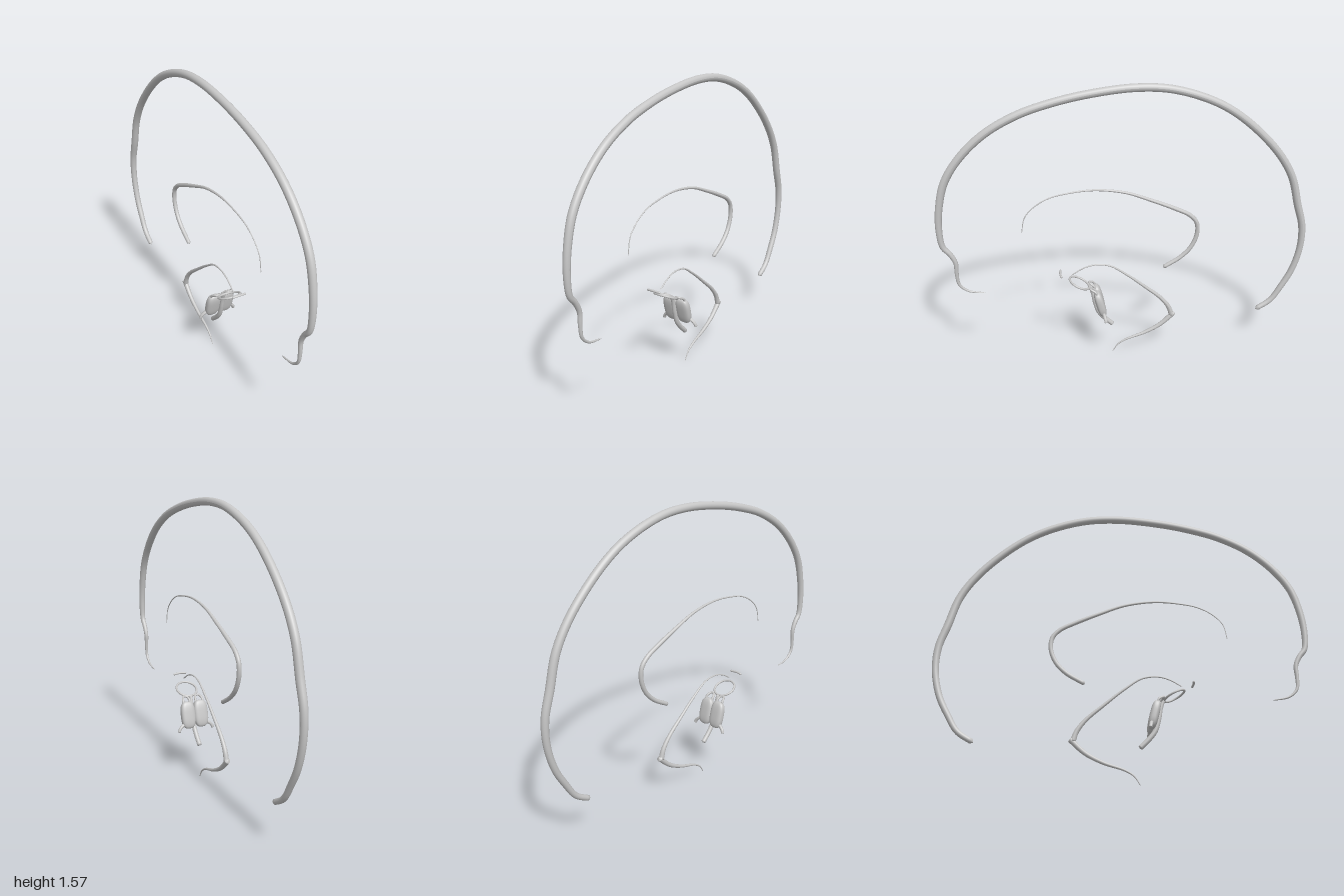
import * as THREE from 'three';

const grey = new THREE.MeshStandardMaterial({ color: 0xc6c6c6 });
grey.name = 'grey';

// Closed tapering tube: points are [x, y, z], radii are spread evenly along its length
function taperTube(name, points, radii, segments, sides = 14) {
  const curve = new THREE.CatmullRomCurve3(points.map(p => new THREE.Vector3(...p)), false, 'centripetal');
  const geo = new THREE.TubeGeometry(curve, segments, 1, sides, false);
  const pos = geo.attributes.position;
  const v = new THREE.Vector3();
  for (let i = 0; i <= segments; i++) {
    const u = i / segments;
    const c = curve.getPointAt(u);
    const f = u * (radii.length - 1);
    const k = Math.min(Math.floor(f), radii.length - 2);
    const r = i === 0 || i === segments ? 0 : THREE.MathUtils.lerp(radii[k], radii[k + 1], f - k);
    for (let j = 0; j <= sides; j++) {
      const n = i * (sides + 1) + j;
      v.fromBufferAttribute(pos, n).sub(c).multiplyScalar(r).add(c);
      pos.setXYZ(n, v.x, v.y, v.z);
    }
  }
  geo.computeVertexNormals();
  const mesh = new THREE.Mesh(geo, grey);
  mesh.name = name;
  return mesh;
}

// Path in the middle plane from [z, y] pairs
const midline = pairs => pairs.map(([z, y]) => [0, y, z]);

// Sphere pushed towards a pillow shape
function lobeGeometry(w, h, d) {
  const geo = new THREE.SphereGeometry(1, 32, 24);
  const pos = geo.attributes.position;
  const soft = a => Math.sign(a) * Math.pow(Math.abs(a), 0.68);
  for (let i = 0; i < pos.count; i++) {
    pos.setXYZ(i, soft(pos.getX(i)) * w, soft(pos.getY(i)) * h, soft(pos.getZ(i)) * d);
  }
  geo.computeVertexNormals();
  return geo;
}

export function createModel() {
  const model = new THREE.Group();
  model.name = 'archedVessels';

  // Large outer arch, thin at the front end
  model.add(taperTube('outerArch', midline([
    [0.775, 0.451], [0.865, 0.472], [0.908, 0.515], [0.915, 0.58], [0.915, 0.647], [0.94, 0.702],
    [0.97, 0.742], [0.98, 0.84], [0.966, 0.97], [0.925, 1.108], [0.835, 1.238], [0.705, 1.353],
    [0.545, 1.438], [0.385, 1.489], [0.195, 1.528], [-0.045, 1.551], [-0.235, 1.535], [-0.45, 1.463],
    [-0.61, 1.363], [-0.795, 1.183], [-0.89, 1.033], [-0.94, 0.863], [-0.977, 0.733], [-0.979, 0.6],
    [-0.945, 0.46], [-0.89, 0.353], [-0.835, 0.268], [-0.75, 0.212],
  ]), [0.003, 0.011, 0.017, 0.02, 0.021, 0.021, 0.021, 0.021, 0.021, 0.021, 0.021, 0.021, 0.021, 0.021, 0.018, 0.017, 0.014], 280, 20));

  // Middle arch
  model.add(taperTube('innerArch', midline([
    [0.56, 0.797], [0.54, 0.885], [0.485, 0.945], [0.405, 0.988], [0.305, 1.009], [0.17, 1.018],
    [0.01, 0.994], [-0.125, 0.943], [-0.26, 0.884], [-0.34, 0.841], [-0.378, 0.795], [-0.383, 0.728],
    [-0.355, 0.654], [-0.3, 0.594], [-0.198, 0.532],
  ]), [0.002, 0.003, 0.004, 0.006, 0.008, 0.011, 0.012, 0.012, 0.011], 160));

  // Lower bent vessel in two pieces meeting at a corner
  model.add(taperTube('lowerVessel', midline([
    [0.308, 0.522], [0.245, 0.559], [0.185, 0.576], [0.1, 0.566], [0.01, 0.507], [-0.1, 0.416],
    [-0.19, 0.336], [-0.235, 0.275], [-0.255, 0.215],
  ]), [0.003, 0.004, 0.005, 0.007, 0.009, 0.011, 0.015], 100));
  model.add(taperTube('lowerTail', midline([
    [-0.27, 0.235], [-0.19, 0.161], [-0.1, 0.113], [0.01, 0.075], [0.055, 0.046], [0.086, 0],
  ]), [0.015, 0.012, 0.009, 0.006, 0.002], 80));

  // Small crossbar in front
  model.add(taperTube('crossbar', [[-0.042, 0.535, 0.364], [0, 0.538, 0.368], [0.042, 0.535, 0.364]], [0.006, 0.006], 20));

  // Ring tilted up towards the front
  const ring = new THREE.Mesh(new THREE.TorusGeometry(0.059, 0.006, 12, 48), grey);
  ring.name = 'ring';
  ring.position.set(0, 0.471, 0.265);
  ring.rotation.x = Math.PI / 2 - 0.46;
  model.add(ring);

  // Paired lobes with a loop above and a prong below
  const lobe = lobeGeometry(0.042, 0.077, 0.024);
  for (const s of [-1, 1]) {
    const body = new THREE.Mesh(lobe, grey);
    body.name = s > 0 ? 'leftLobe' : 'rightLobe';
    body.position.set(s * 0.039, 0.353, 0.157);
    body.rotation.x = 0.25;
    model.add(body);
    model.add(taperTube('lobeLoop', [
      [s * 0.058, 0.405, 0.168], [s * 0.058, 0.435, 0.183], [s * 0.045, 0.448, 0.207],
      [s * 0.026, 0.445, 0.203], [s * 0.018, 0.43, 0.184], [s * 0.018, 0.405, 0.172],
    ], [0.0065, 0.0065], 40, 10));
    model.add(taperTube('sideProng', [
      [s * 0.062, 0.308, 0.143], [s * 0.085, 0.295, 0.138], [s * 0.098, 0.281, 0.135], [s * 0.105, 0.264, 0.132],
    ], [0.009, 0.009], 24, 10));
  }

  // Central stem running down in front of the lobes
  model.add(taperTube('centreStem', midline([
    [0.21, 0.448], [0.195, 0.405], [0.182, 0.34], [0.163, 0.28], [0.13, 0.235], [0.083, 0.188],
  ]), [0.009, 0.012, 0.013, 0.013], 60));

  return model;
}
